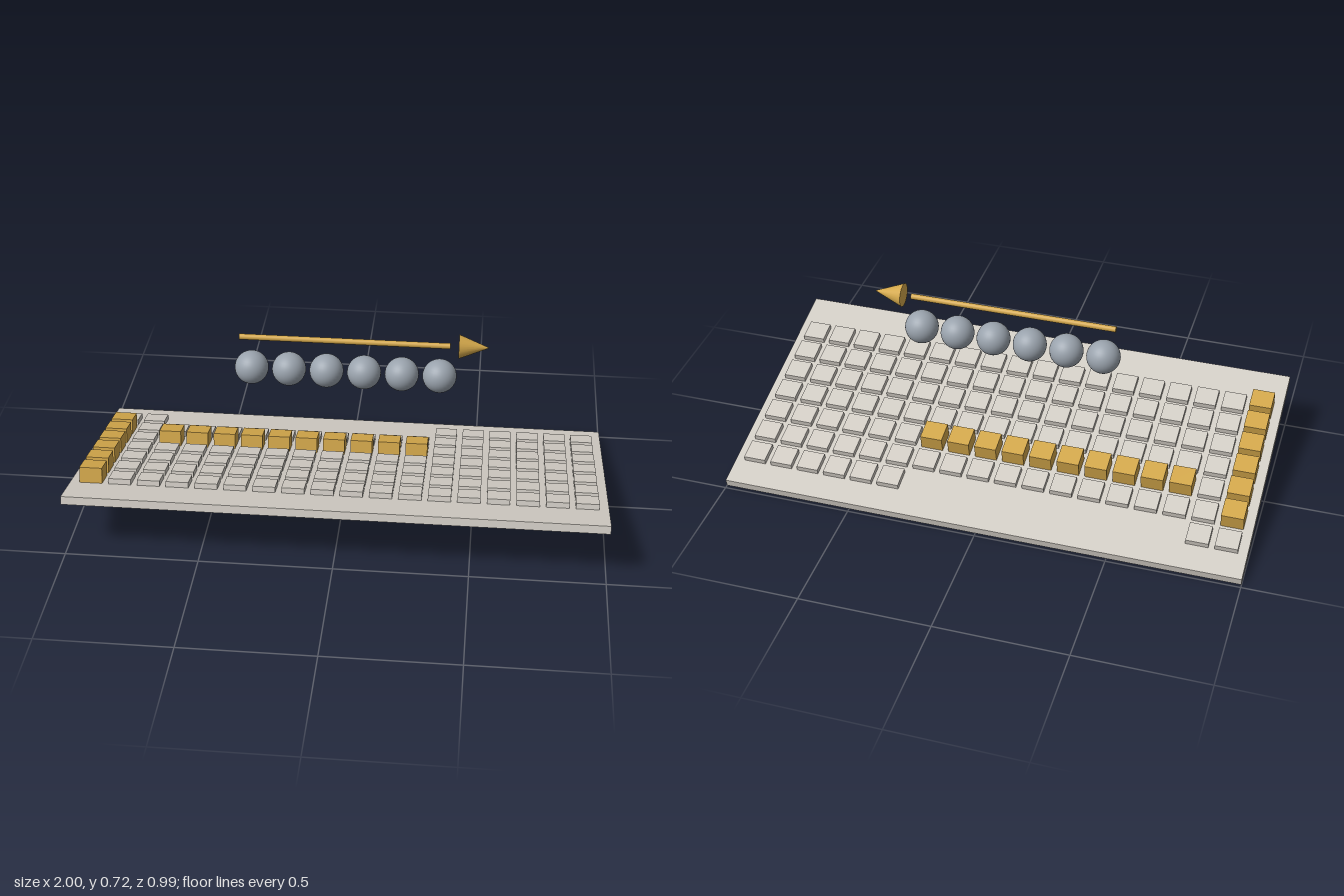
import * as THREE from 'three';

export function createModel() {
  const model = new THREE.Group();
  const paleGrey = new THREE.MeshStandardMaterial({ name: 'paleGrey', color: 0xd4cfc7 });
  const gold = new THREE.MeshStandardMaterial({ name: 'gold', color: 0xd4a84b });
  const steel = new THREE.MeshStandardMaterial({ name: 'steel', color: 0x9aa3ad });

  const add = (parent, name, geometry, material, x, y, z) => {
    const mesh = new THREE.Mesh(geometry, material);
    mesh.name = name;
    mesh.position.set(x, y, z);
    parent.add(mesh);
    return mesh;
  };

  // Tilted board, higher at the front
  const keyboard = new THREE.Group();
  keyboard.name = 'keyboard';
  keyboard.position.set(0, 0.128, 0.001);
  keyboard.rotation.x = -0.22;
  model.add(keyboard);
  const thickness = 0.031;
  add(keyboard, 'basePlate', new THREE.BoxGeometry(2, thickness, 1.003), paleGrey, 0, 0, 0);

  // Grid of low keys, with one raised column and one raised row in gold
  const lowHeight = 0.021, tallHeight = 0.06;
  const lowKey = new THREE.BoxGeometry(0.085, lowHeight, 0.084);
  const tallKey = new THREE.BoxGeometry(0.085, tallHeight, 0.084);
  for (let row = 0; row < 7; row++) {
    for (let col = 0; col < 18; col++) {
      if (row === 6 && col > 1 && col < 12) continue; // gap in the rear row
      const raised = (col === 0 && row < 6) || (row === 4 && col >= 2 && col <= 11);
      const height = raised ? tallHeight : lowHeight;
      add(keyboard, raised ? 'raisedKey' : 'key', raised ? tallKey : lowKey, raised ? gold : paleGrey,
        (col - 8.5) * 0.1084, thickness / 2 + height / 2, 0.31 - row * 0.1098);
    }
  }

  // Row of floating balls
  const ball = new THREE.SphereGeometry(0.064, 32, 20);
  for (let i = 0; i < 6; i++) add(model, 'ball', ball, steel, (i - 2.5) * 0.1418, 0.552, -0.004);

  // Arrow above the balls, pointing to +x
  const arrow = new THREE.Group();
  arrow.name = 'arrow';
  arrow.position.set(0, 0.681, -0.004);
  model.add(arrow);
  const shaft = add(arrow, 'arrowShaft', new THREE.CylinderGeometry(0.011, 0.011, 0.79, 16), gold, -0.003, 0, 0);
  const head = add(arrow, 'arrowHead', new THREE.ConeGeometry(0.045, 0.113, 24), gold, 0.48, 0, 0);
  shaft.rotation.z = head.rotation.z = -Math.PI / 2;

  return model;
}
